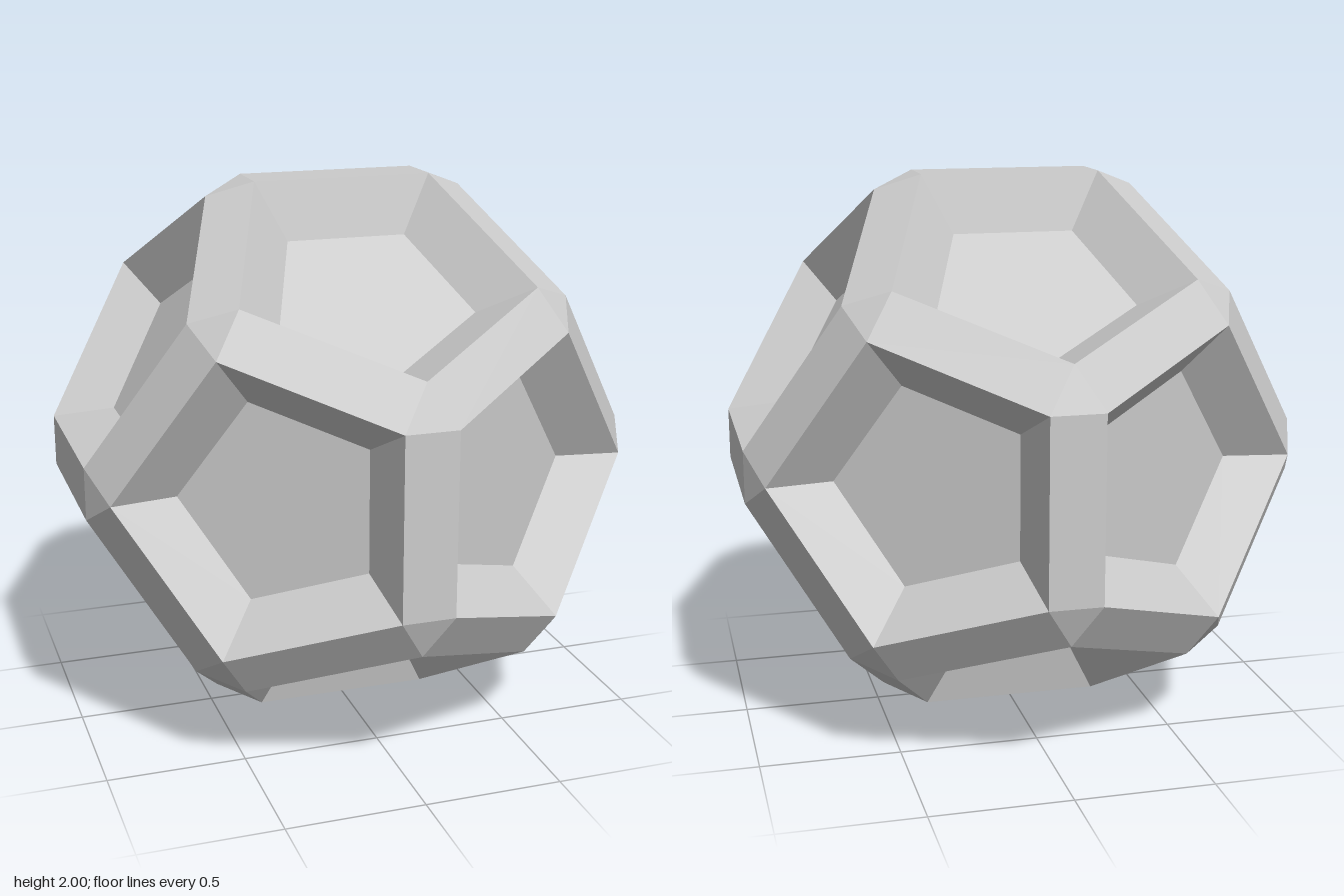
import * as THREE from 'three';

const PHI = (1 + Math.sqrt(5)) / 2;
const RIM = { dist: 0.9, radius: 0.551 };     // outer opening of each pentagon
const FLOOR = { dist: 0.745, radius: 0.37 };  // sunken panel

// Frames of the 12 pentagon faces: normal n, in-plane axes u (towards the tip) and v
function faceFrames() {
  const frames = [];
  for (let turn = 0; turn < 3; turn++) {
    for (const s of [1, -1]) for (const t of [1, -1]) {
      const n = new THREE.Vector3(s, 0, t * PHI).normalize();
      const u = new THREE.Vector3(s * PHI, 0, -t).normalize();
      for (let i = 0; i < turn; i++) {
        n.set(n.y, n.z, n.x);
        u.set(u.y, u.z, u.x);
      }
      frames.push({ n, u, v: n.clone().cross(u) });
    }
  }
  return frames;
}

// Pentagon corners, counter-clockwise seen from outside
function pentagon({ n, u, v }, { dist, radius }) {
  return [0, 1, 2, 3, 4].map((k) => {
    const a = (k * Math.PI * 2) / 5;
    return n.clone().multiplyScalar(dist)
      .addScaledVector(u, radius * Math.cos(a))
      .addScaledVector(v, radius * Math.sin(a));
  });
}

// Put the corners of a convex facet in counter-clockwise order around its outward direction
function sortAround(points, out) {
  const c = new THREE.Vector3();
  points.forEach((p) => c.addScaledVector(p, 1 / points.length));
  const n = out.clone().normalize();
  const e = points[0].clone().sub(c).projectOnPlane(n).normalize();
  const f = n.clone().cross(e);
  const angle = (p) => {
    const d = p.clone().sub(c);
    return Math.atan2(d.dot(f), d.dot(e));
  };
  return [...points].sort((a, b) => angle(a) - angle(b));
}

// Mesh from convex polygons, each split as a fan
function polygonMesh(name, polygons, material) {
  const pts = [];
  for (const p of polygons) {
    for (let i = 1; i < p.length - 1; i++) pts.push(p[0], p[i], p[i + 1]);
  }
  pts.forEach((p, i) => { pts[i] = p.clone().add(new THREE.Vector3(0, 1, 0)); });
  const geometry = new THREE.BufferGeometry().setFromPoints(pts);
  geometry.computeVertexNormals();
  const mesh = new THREE.Mesh(geometry, material);
  mesh.name = name;
  return mesh;
}

export function createModel() {
  const group = new THREE.Group();
  group.name = 'recessedDodecahedron';
  const material = new THREE.MeshStandardMaterial({ color: 0xcccccc, flatShading: true });

  const frames = faceFrames();
  const rims = frames.map((f) => pentagon(f, RIM));
  const floors = frames.map((f) => pentagon(f, FLOOR));
  const adjacent = (i, j) => frames[i].n.dot(frames[j].n) > 0.4;
  const nearest = (points, dir, count) =>
    [...points].sort((a, b) => b.dot(dir) - a.dot(dir)).slice(0, count);

  // Flat bars along the 30 edges and triangles on the 20 corners
  const bars = [], corners = [];
  for (let i = 0; i < 12; i++) for (let j = i + 1; j < 12; j++) {
    if (!adjacent(i, j)) continue;
    const edge = frames[i].n.clone().add(frames[j].n);
    bars.push(sortAround([i, j].flatMap((f) => nearest(rims[f], edge, 2)), edge));
    for (let k = j + 1; k < 12; k++) {
      if (!adjacent(i, k) || !adjacent(j, k)) continue;
      const tip = edge.clone().add(frames[k].n);
      corners.push(sortAround([i, j, k].flatMap((f) => nearest(rims[f], tip, 1)), tip));
    }
  }

  // Sloping walls from each rim down to its panel
  const walls = rims.flatMap((rim, f) => rim.map((p, k) => {
    const next = (k + 1) % 5;
    return [p, rim[next], floors[f][next], floors[f][k]];
  }));

  group.add(
    polygonMesh('edgeBars', bars, material),
    polygonMesh('cornerFacets', corners, material),
    polygonMesh('recessWalls', walls, material),
    polygonMesh('recessPanels', floors, material),
  );
  return group;
}
